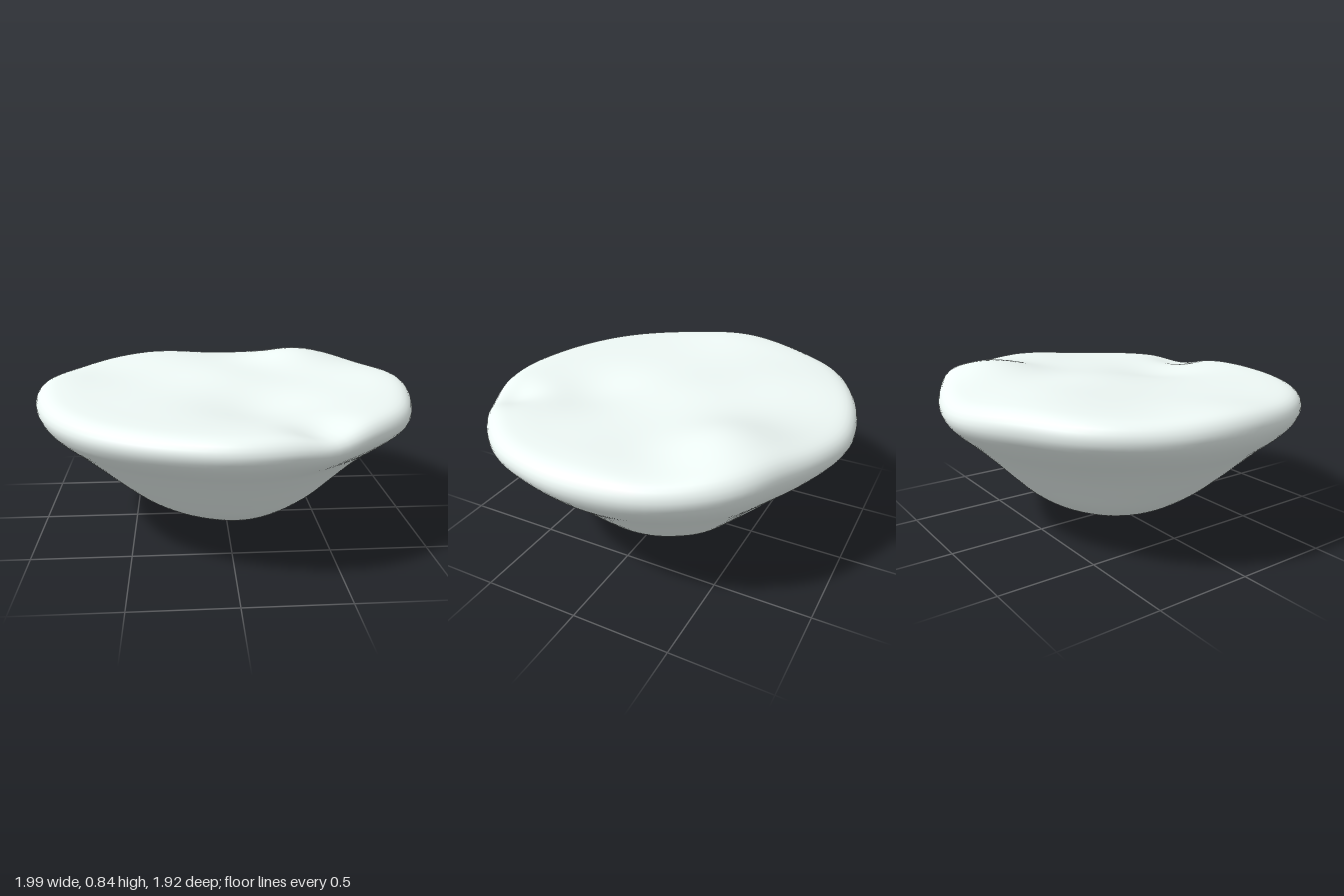
import * as THREE from 'three';

// Rim radius every 15 degrees, from +x towards +z
const RIM = [0.995, 0.98, 0.98, 0.965, 0.96, 0.962, 0.957, 0.945, 0.95, 0.965, 0.975, 0.985,
  1, 1, 0.99, 0.985, 0.968, 0.968, 0.968, 0.95, 0.945, 0.978, 0.988, 1];

// Half section from the tip, over the rounded lip, to the middle of the top:
// (share of rim radius, height)
const GROUND = 0.755;
const SECTION = [[0, 0], [0.1, 0.012], [0.2, 0.037], [0.35, 0.092], [0.5, 0.185], [0.63, 0.3],
  [0.74, 0.405], [0.84, 0.495], [0.93, 0.57], [0.98, 0.625], [1, 0.675], [0.988, 0.715],
  [0.96, 0.74], [0.92, 0.751], [0.85, GROUND], [0.7, GROUND], [0.55, GROUND], [0.4, GROUND],
  [0.2, GROUND], [0, GROUND]];

// Humps and hollows of the ground: x, z, width, height
const BUMPS = [
  [0.46, -0.52, 0.27, 0.075], [-0.3, -0.6, 0.4, 0.035], [0, -0.15, 0.28, 0.02],
  [-0.9, -0.05, 0.28, 0.022], [0.88, -0.1, 0.28, 0.025], [-0.05, -0.97, 0.3, -0.025],
  [0.15, 0.4, 0.27, -0.04], [0.38, 0.76, 0.14, -0.045],
];

// Shallow hollows and ridges around the underside: angle in degrees, width, radius change
const FLANKS = [[40, 26, -0.03], [92, 20, 0.012], [145, 28, 0.02], [228, 28, -0.045], [315, 28, 0.01]];

const bell = (d, w) => Math.exp(-(d * d) / (w * w));

// Difference from the mean ground level
function groundOffset(x, z) {
  return BUMPS.reduce((y, [bx, bz, w, h]) => y + h * bell(Math.hypot(x - bx, z - bz), w), -0.012 * z);
}

// Smooth closed interpolation of the rim radii
function rimRadius(t) {
  const n = RIM.length, i = Math.floor(t * n), f = t * n - i;
  const [a, b, c, d] = [-1, 0, 1, 2].map((k) => RIM[(i + k + n) % n]);
  return b + 0.5 * f * (c - a + f * (2 * a - 5 * b + 4 * c - d + f * (3 * (b - c) + d - a)));
}

// Widens or narrows the underside, fading out at the tip and the lip
function flankFactor(degrees, y) {
  const waist = Math.sin(Math.PI * THREE.MathUtils.clamp(y / 0.64, 0, 1));
  return FLANKS.reduce((s, [a, w, k]) => {
    const d = ((degrees - a + 540) % 360) - 180;
    return s + 1.4 * k * waist * bell(d, w);
  }, 1);
}

export function createModel() {
  const around = 120, rows = 100;
  const profile = new THREE.CatmullRomCurve3(
    SECTION.map(([u, y]) => new THREE.Vector3(u, y, 0)), false, 'centripetal',
  ).getSpacedPoints(rows);

  const positions = [], index = [];
  profile.forEach((p, i) => {
    const u = Math.max(p.x, 0);
    // The lip follows the uneven ground more and more towards the top
    const upper = THREE.MathUtils.smoothstep(p.y, 0.5, 0.74);
    const tip = (1 - u) * (1 - upper);
    for (let j = 0; j < around; j++) {
      const t = j / around, angle = t * Math.PI * 2;
      const r = u * rimRadius(t) * flankFactor(t * 360, p.y);
      const x = Math.cos(angle) * r + 0.04 * tip;
      const z = Math.sin(angle) * r - 0.03 * tip;
      positions.push(x, p.y + groundOffset(x, z) * upper, z);
      if (i < rows) {
        const k = (j + 1) % around;
        const a = i * around + j, b = a + around, c = i * around + k, d = c + around;
        index.push(a, b, c, b, d, c);
      }
    }
  });

  const geometry = new THREE.BufferGeometry();
  geometry.setAttribute('position', new THREE.Float32BufferAttribute(positions, 3));
  geometry.setIndex(index);
  geometry.computeVertexNormals();

  const rock = new THREE.Mesh(geometry, new THREE.MeshStandardMaterial({ color: 0xeef8f5 }));
  rock.name = 'floatingRock';
  const group = new THREE.Group();
  group.name = 'rockIsland';
  group.add(rock);
  return group;
}
